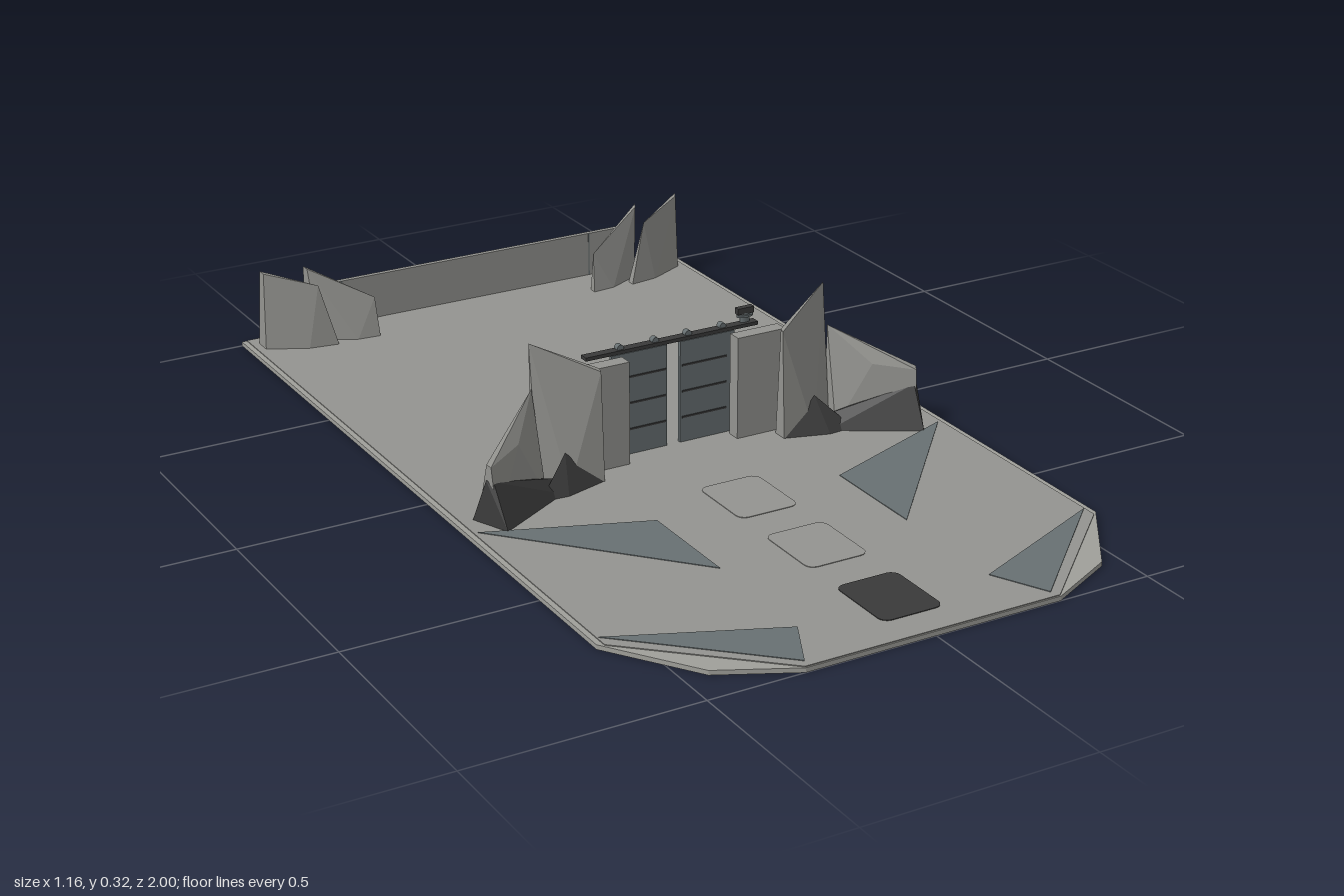
import * as THREE from 'three';
import { ConvexGeometry } from 'three/addons/geometries/ConvexGeometry.js';

const mat = (name, color, extra = {}) => {
  const m = new THREE.MeshStandardMaterial({ color, ...extra });
  m.name = name;
  return m;
};

export function createModel() {
  const root = new THREE.Group();
  root.name = 'fortifiedPlatform';
  const stone = mat('stone grey', 0x949490);
  const slate = mat('slate', 0x687072);
  const dark = mat('charcoal', 0x3a3a3a);
  const edge = mat('light edge grey', 0x9f9f9a);

  const add = (name, geo, material, parent = root) => {
    const m = new THREE.Mesh(geo, material);
    m.name = name;
    parent.add(m);
    return m;
  };
  const box = (name, x0, x1, y0, y1, z0, z1, material, parent) => {
    const g = new THREE.BoxGeometry(x1 - x0, y1 - y0, z1 - z0);
    g.translate((x0 + x1) / 2, (y0 + y1) / 2, (z0 + z1) / 2);
    return add(name, g, material, parent);
  };
  // Flat plate from an outline of [x, z] points
  const plate = (name, pts, y0, y1, material) => {
    const shape = new THREE.Shape(pts.map(([x, z]) => new THREE.Vector2(x, -z)));
    const g = new THREE.ExtrudeGeometry(shape, { depth: y1 - y0, bevelEnabled: false });
    g.rotateX(-Math.PI / 2).translate(0, y0, 0);
    return add(name, g, material);
  };
  const rock = (name, pts, s, material, parent) =>
    add(name, new ConvexGeometry(pts.map(([x, y, z]) => new THREE.Vector3(s * x, y, z))), material, parent);

  const TOP = 0.012;

  // Platform: lower slab with bevelled corners and a slightly smaller deck
  const mirrored = (half) => [...half, ...half.map(([x, z]) => [-x, z]).reverse()];
  plate('baseSlab', mirrored([[0.58, -1], [0.58, 0.73], [0.45, 0.92], [0.29, 1]]), 0, 0.01, edge);
  plate('deck', mirrored([[0.568, -0.998], [0.568, 0.74], [0.29, 0.997]]), 0.01, TOP, stone);

  // Deck markings: rounded pads along the middle
  const pad = (z, material) => {
    const w = 0.07, h = 0.085, r = 0.02, pts = [];
    [[1, 1], [-1, 1], [-1, -1], [1, -1]].forEach(([sx, sz], i) => {
      for (let k = 0; k <= 4; k++) {
        const a = (i + k / 4) * Math.PI / 2;
        pts.push([sx * (w - r) + r * Math.cos(a), z + sz * (h - r) + r * Math.sin(a)]);
      }
    });
    plate('deckPad', pts, TOP, TOP + 0.0015, material);
  };
  pad(0.32, stone);
  pad(0.58, stone);
  pad(0.84, dark);

  for (const s of [1, -1]) {
    const side = s > 0 ? 'left' : 'right';
    const m = (pts) => pts.map(([x, z]) => [s * x, z]);

    // Painted triangles
    plate(side + 'MiddleTriangle', m([[0.56, 0.195], [0.22, 0.325], [0.22, 0.575]]), TOP, TOP + 0.0015, slate);
    plate(side + 'FrontTriangle', m([[0.565, 0.71], [0.22, 0.86], [0.28, 0.98]]), TOP, TOP + 0.0015, slate);

    // Gate pillar, sliding door and ribs
    const gate = new THREE.Group();
    gate.name = side + 'Gate';
    root.add(gate);
    const sbox = (name, x0, x1, y0, y1, z0, z1, material) =>
      box(name, Math.min(s * x0, s * x1), Math.max(s * x0, s * x1), y0, y1, z0, z1, material, gate);
    sbox('gatePillar', 0.132, 0.25, 0.01, 0.245, 0.022, 0.055, stone);
    sbox('gateDoor', 0.016, 0.15, 0.01, 0.245, 0, 0.01, slate);
    for (const y of [0.07, 0.13, 0.19]) sbox('doorRib', 0.02, 0.13, y - 0.002, y + 0.002, 0.01, 0.012, dark);

    // Front rock wing: slabs rising behind dark boulders
    const wing = new THREE.Group();
    wing.name = side + 'FrontRocks';
    root.add(wing);
    rock('tallSlab', [
      [0.357, 0.325, 0.035], [0.22, 0.26, 0.085], [0.22, 0.255, 0.093], [0.357, 0.01, 0.035],
      [0.22, 0.01, 0.07], [0.22, 0.01, 0.105], [0.3, 0.01, 0.1], [0.357, 0.01, 0.07],
    ], s, stone, wing);
    rock('lowSlab', [
      [0.36, 0.23, 0.05], [0.52, 0.14, 0.16], [0.515, 0.135, 0.17], [0.36, 0.01, 0.045],
      [0.53, 0.01, 0.135], [0.51, 0.01, 0.185], [0.355, 0.01, 0.1], [0.43, 0.15, 0.125],
    ], s, stone, wing);
    rock('longBoulder', [
      [0.522, 0.105, 0.16], [0.51, 0.103, 0.17], [0.542, 0.01, 0.135], [0.505, 0.01, 0.222],
      [0.32, 0.01, 0.115], [0.325, 0.037, 0.09],
    ], s, dark, wing);
    rock('smallBoulder', [
      [0.305, 0.09, 0.09], [0.22, 0.01, 0.105], [0.385, 0.01, 0.13], [0.32, 0.01, 0.135], [0.3, 0.01, 0.07],
    ], s, dark, wing);

    // Rear rock pair
    const rear = new THREE.Group();
    rear.name = side + 'RearRocks';
    root.add(rear);
    rock('outerSlab', [
      [0.55, 0.2, -0.94], [0.545, 0.195, -0.93], [0.43, 0.16, -0.885], [0.55, 0.01, -0.965],
      [0.55, 0.01, -0.925], [0.46, 0.01, -0.88], [0.39, 0.01, -0.87], [0.39, 0.01, -0.89],
    ], s, stone, rear);
    rock('innerSlab', [
      [0.44, 0.19, -0.945], [0.435, 0.185, -0.935], [0.29, 0.105, -0.885], [0.44, 0.01, -0.96],
      [0.42, 0.01, -0.915], [0.34, 0.01, -0.875], [0.285, 0.01, -0.87], [0.285, 0.01, -0.89],
    ], s, stone, rear);
  }

  // Door rail with rollers
  box('doorRail', -0.21, 0.21, 0.245, 0.253, -0.013, 0.008, dark);
  for (const x of [-0.125, -0.04, 0.04, 0.125]) {
    const g = new THREE.CylinderGeometry(0.008, 0.008, 0.014, 12);
    g.rotateX(Math.PI / 2).translate(x, 0.256, -0.003);
    add('railRoller', g, slate);
  }

  // Motor at one end of the rail
  const motor = new THREE.Group();
  motor.name = 'railMotor';
  motor.position.set(0.185, 0, -0.006);
  root.add(motor);
  [[0.012, 0.253, 0.265], [0.02, 0.265, 0.27], [0.013, 0.27, 0.274]].forEach(([r, y0, y1]) => {
    const g = new THREE.CylinderGeometry(r, r, y1 - y0, 16);
    g.scale(1, 1, 0.5).translate(0, (y0 + y1) / 2, 0);
    add('motorDisc', g, slate, motor);
  });
  box('motorHead', -0.02, 0.02, 0.272, 0.286, -0.008, 0.006, dark, motor);

  // Low wall at the back, with a slim joint strip on each face
  box('rearWall', -0.45, 0.45, 0.01, 0.12, -0.994, -0.982, stone);
  for (const x of [-0.33, 0.33]) box('rearWallJoint', x - 0.0015, x + 0.0015, 0.012, 0.12, -0.9945, -0.9815, slate);

  return root;
}
